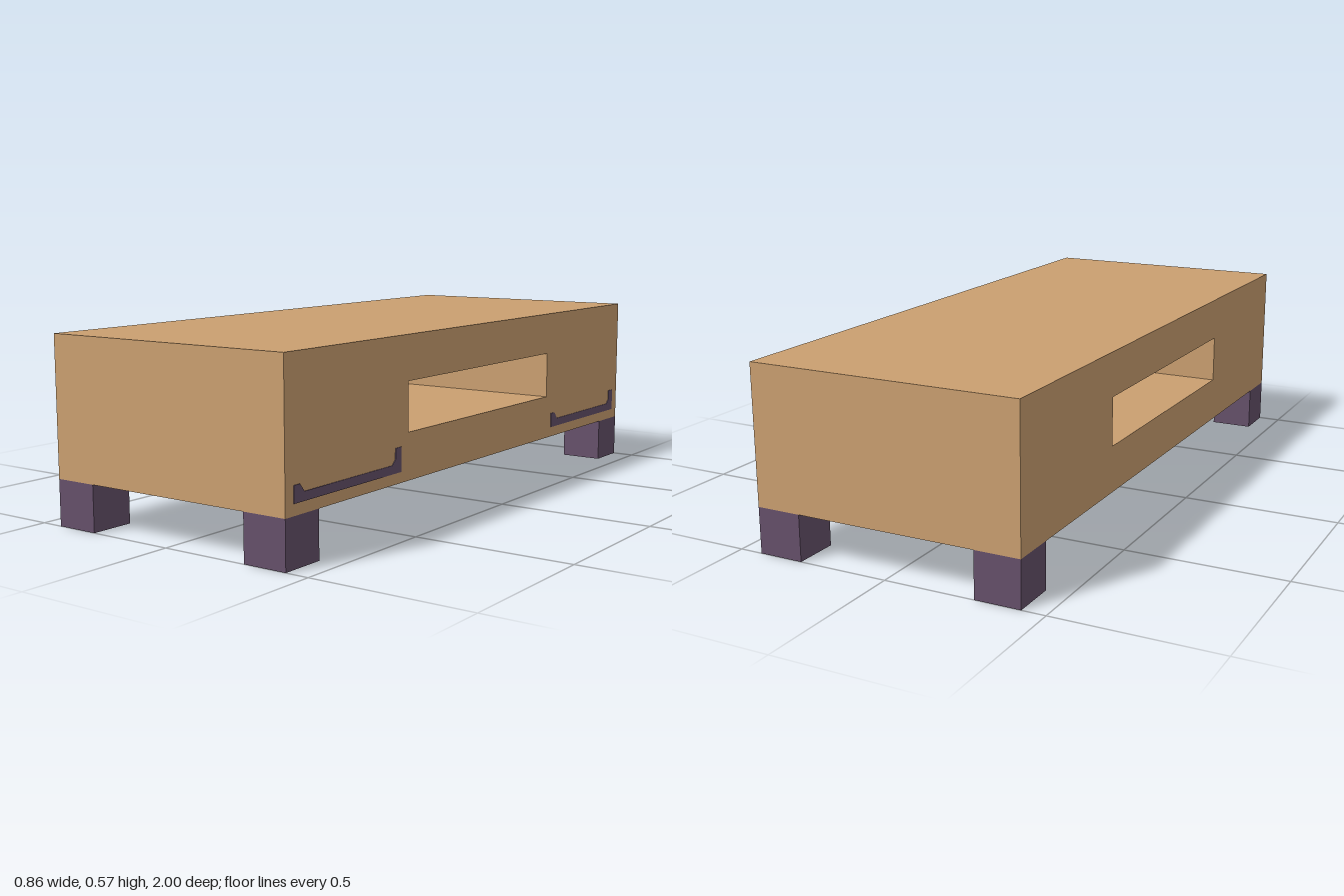
import * as THREE from 'three';

const W = 0.427, BOTTOM = 0.143, TOP = 0.573;

// Extrudes a side-view outline (u runs toward the back, v up) along +x, starting at x0
function extrudeX(shape, x0, width) {
  const g = new THREE.ExtrudeGeometry(shape, { depth: width, bevelEnabled: false });
  g.rotateY(Math.PI / 2);
  g.translate(x0, 0, 0);
  return g;
}

const polygon = (points) => points.map(([u, v]) => new THREE.Vector2(u, v));

export function createModel() {
  const wood = new THREE.MeshStandardMaterial({ color: 0xca9f70 });
  wood.name = 'wood';
  const purple = new THREE.MeshStandardMaterial({ color: 0x65506a });
  purple.name = 'darkPurple';

  const model = new THREE.Group();
  model.name = 'coffeeTable';
  const add = (name, geometry, material) => {
    const mesh = new THREE.Mesh(geometry, material);
    mesh.name = name;
    model.add(mesh);
    return mesh;
  };

  // Body with a slot running through it from side to side
  const outline = new THREE.Shape(polygon([[-1, BOTTOM], [1, BOTTOM], [1, TOP], [-1, TOP]]));
  outline.holes.push(new THREE.Path(polygon([[-0.43, 0.287], [-0.43, 0.437], [0.43, 0.437], [0.43, 0.287]])));
  const body = extrudeX(outline, -W, 2 * W);

  // Faces that look down (underside and slot ceiling) are purple
  body.clearGroups();
  const normal = body.attributes.normal;
  for (let i = 0; i < normal.count; i += 3) {
    body.addGroup(i, 3, normal.getY(i) < -0.5 ? 1 : 0);
  }
  add('body', body, [wood, purple]);

  // Four block feet, flush with the corners
  const foot = new THREE.BoxGeometry(0.142, BOTTOM, 0.142);
  for (const sx of [-1, 1]) {
    for (const sz of [-1, 1]) {
      add('foot', foot, purple).position.set(sx * (W - 0.071), BOTTOM / 2, sz * 0.929);
    }
  }

  // Thin drawer pulls on the left side: a bar with a short and a tall upturned end
  const pull = new THREE.Shape(polygon([
    [0, 0.176], [0.497, 0.176], [0.497, 0.25], [0.467, 0.25], [0.467, 0.218], [0.45, 0.202],
    [0.044, 0.202], [0.025, 0.225], [0, 0.225],
  ]));
  for (const start of [-0.965, 0.465]) {
    add('drawerPull', extrudeX(pull, W, 0.002), purple).position.z = -start;
  }

  return model;
}
